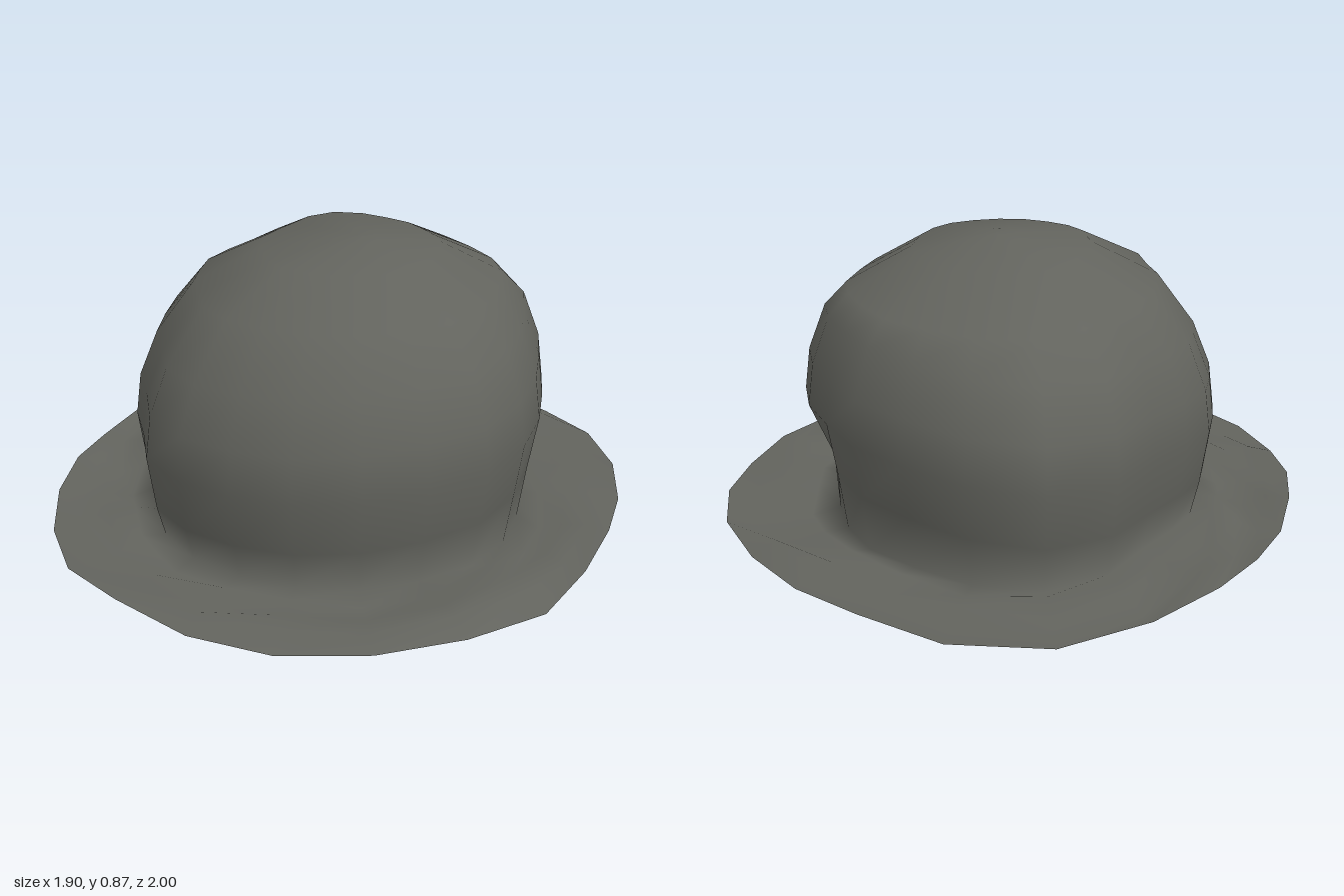
import * as THREE from 'three';

const felt = new THREE.MeshStandardMaterial({ color: 0x62635d, side: THREE.DoubleSide });
felt.name = 'dark grey felt';

// outline radii every 15 degrees, from +x towards +z
const brimRadii = [.95, .95, .935, .917, .915, .94, 1, 1.007, 1.02, 1.015, .985, .97,
  .955, .915, .88, .86, .868, .895, .96, 1.035, 1.12, 1.105, 1.02, .97];
const crownRadii = [.69, .68, .675, .66, .68, .715, .745, .745, .75, .745, .725, .71,
  .68, .62, .62, .61, .63, .64, .68, .79, .865, .83, .765, .735];
const segments = crownRadii.length;

// crown profile: [scale of outline, height], from its foot to the top
const profile = [[.92, .07], [.96, .2], [1, .37], [.975, .5], [.89, .64],
  [.72, .755], [.43, .86], [.1, .888], [0, .89]];
const brimRings = 4;

// repeatable noise in -1..1
function noise(i, j) {
  const s = Math.sin(i * 127.1 + j * 311.7) * 43758.5453;
  return 2 * (s - Math.floor(s)) - 1;
}

const baseHeight = (x, z) => 0.062 - 0.02 * z + 0.015 * x;
const angle = i => i / segments * Math.PI * 2;

// hollow lopsided dome
function crownPoint(r, i) {
  const a = angle(i);
  let [s, y] = profile[r];
  // pressed-in dent low on the front left
  if (r < 2) s -= [0.1, 0.15][r] * Math.exp(-(((i - 2) / 1.1) ** 2));
  // fuller shoulder on the left side
  if (r === 5) s += 0.07 * Math.max(0, Math.cos(a)) ** 2;
  const lean = 0.06 * Math.max(0, (y - 0.4) / 0.5) * (1 - s);
  const x = Math.cos(a) * crownRadii[i] * s + lean;
  const z = Math.sin(a) * crownRadii[i] * s + lean;
  if (r === 0) y = baseHeight(x, z);
  else if (r < 5) y += 0.05 * Math.cos(a);
  return [x, y, z];
}

// crumpled floppy brim, from the outer edge in to the foot of the crown
function brimPoint(r, i) {
  const a = angle(i), foot = crownPoint(0, i);
  const radius = THREE.MathUtils.lerp(brimRadii[i], Math.hypot(foot[0], foot[2]), r / brimRings);
  const x = Math.cos(a) * radius, z = Math.sin(a) * radius;
  const folds = (r === 0 ? 0.012 : 0.024) * noise(i, r) + 0.006 * Math.sin(a * 7 + r);
  // raised fold at the front
  const ridge = 0.03 * Math.exp(-((x - 0.03) ** 2 + (z - 0.8) ** 2) / 0.01);
  return [x, Math.max(0.005, baseHeight(x, z) + folds + ridge), z];
}

// one continuous felt sheet: brim rings, then crown rings
function makeFelt() {
  const positions = [], index = [];
  const rings = brimRings + profile.length;
  for (let r = 0; r < rings; r++) {
    for (let i = 0; i < segments; i++) {
      positions.push(...(r < brimRings ? brimPoint(r, i) : crownPoint(r - brimRings, i)));
    }
  }
  for (let r = 0; r < rings - 1; r++) {
    for (let i = 0; i < segments; i++) {
      const n = (i + 1) % segments;
      const a = r * segments + i, b = r * segments + n;
      index.push(a, a + segments, b, b, a + segments, b + segments);
    }
  }
  const geometry = new THREE.BufferGeometry();
  geometry.setAttribute('position', new THREE.Float32BufferAttribute(positions, 3));
  geometry.setIndex(index);
  geometry.computeVertexNormals();
  const mesh = new THREE.Mesh(geometry, felt);
  mesh.name = 'crown and brim';
  return mesh;
}

export function createModel() {
  const hat = new THREE.Group();
  hat.name = 'hat';
  hat.add(makeFelt());
  return hat;
}
